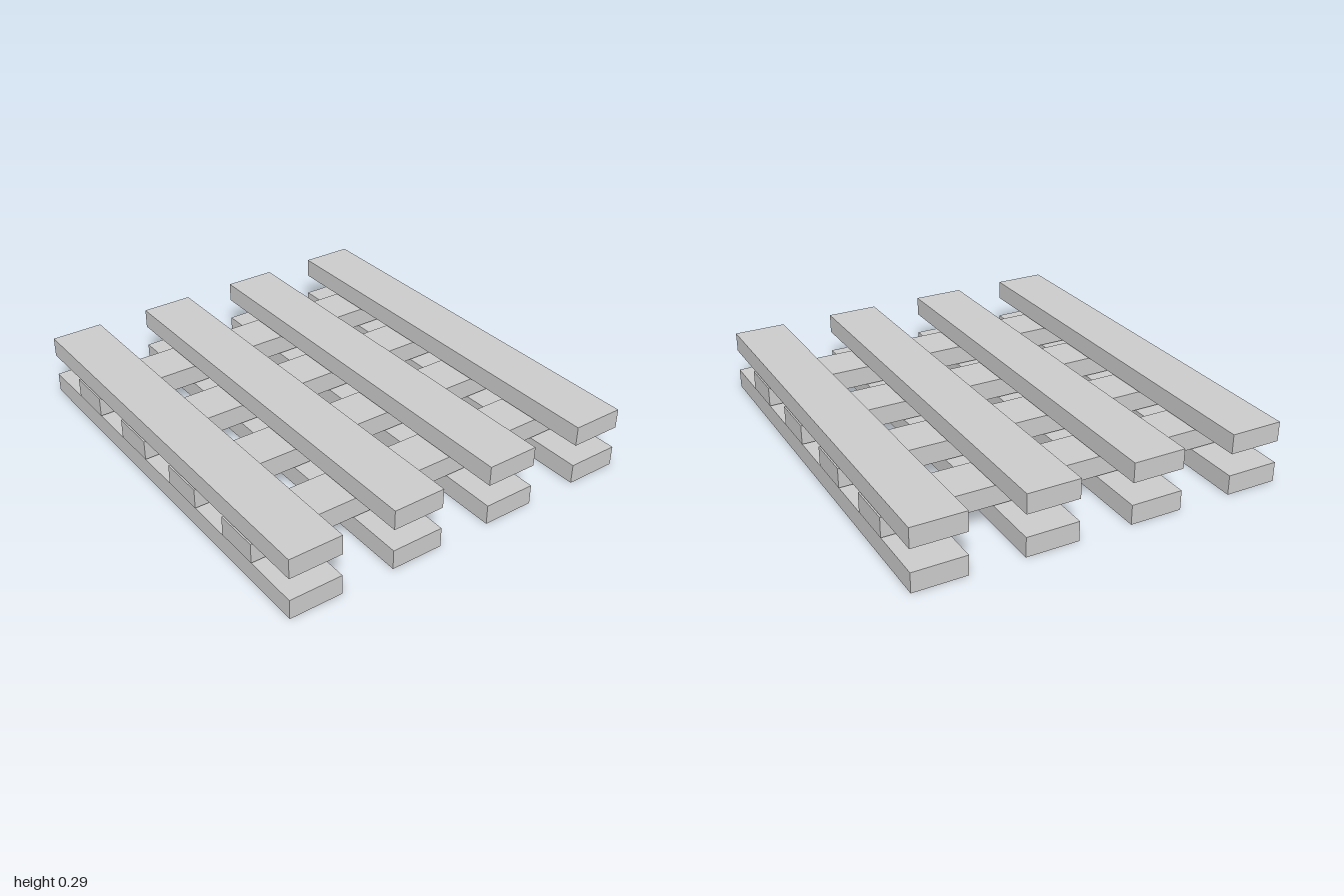
import * as THREE from 'three';

const material = new THREE.MeshStandardMaterial({ color: 0xcccccc, side: THREE.DoubleSide });

// Hollow board: a box with its underside left open
function boardGeometry(width, height, depth) {
  const geometry = new THREE.BoxGeometry(width, height, depth);
  const index = Array.from(geometry.index.array);
  index.splice(18, 6); // bottom face
  geometry.setIndex(index);
  geometry.clearGroups();
  return geometry;
}

export function createModel() {
  const pallet = new THREE.Group();
  pallet.name = 'pallet';

  const height = 0.092;
  const plank = boardGeometry(0.245, height, 2);
  const crossbar = boardGeometry(1.735, height, 0.212);

  const addBoard = (name, geometry, x, bottom, z) => {
    const mesh = new THREE.Mesh(geometry, material);
    mesh.name = name;
    mesh.position.set(x, bottom + height / 2, z);
    pallet.add(mesh);
  };

  for (let i = 0; i < 4; i++) {
    const step = i - 1.5;
    // Long planks below and above, running front to back
    addBoard(`bottomPlank${i + 1}`, plank, step * 0.494, 0, 0);
    addBoard(`topPlank${i + 1}`, plank, step * 0.494, 0.196, 0);
    // Crossbars sandwiched between the two layers
    addBoard(`crossbar${i + 1}`, crossbar, 0, 0.098, step * 0.425);
  }
  return pallet;
}
